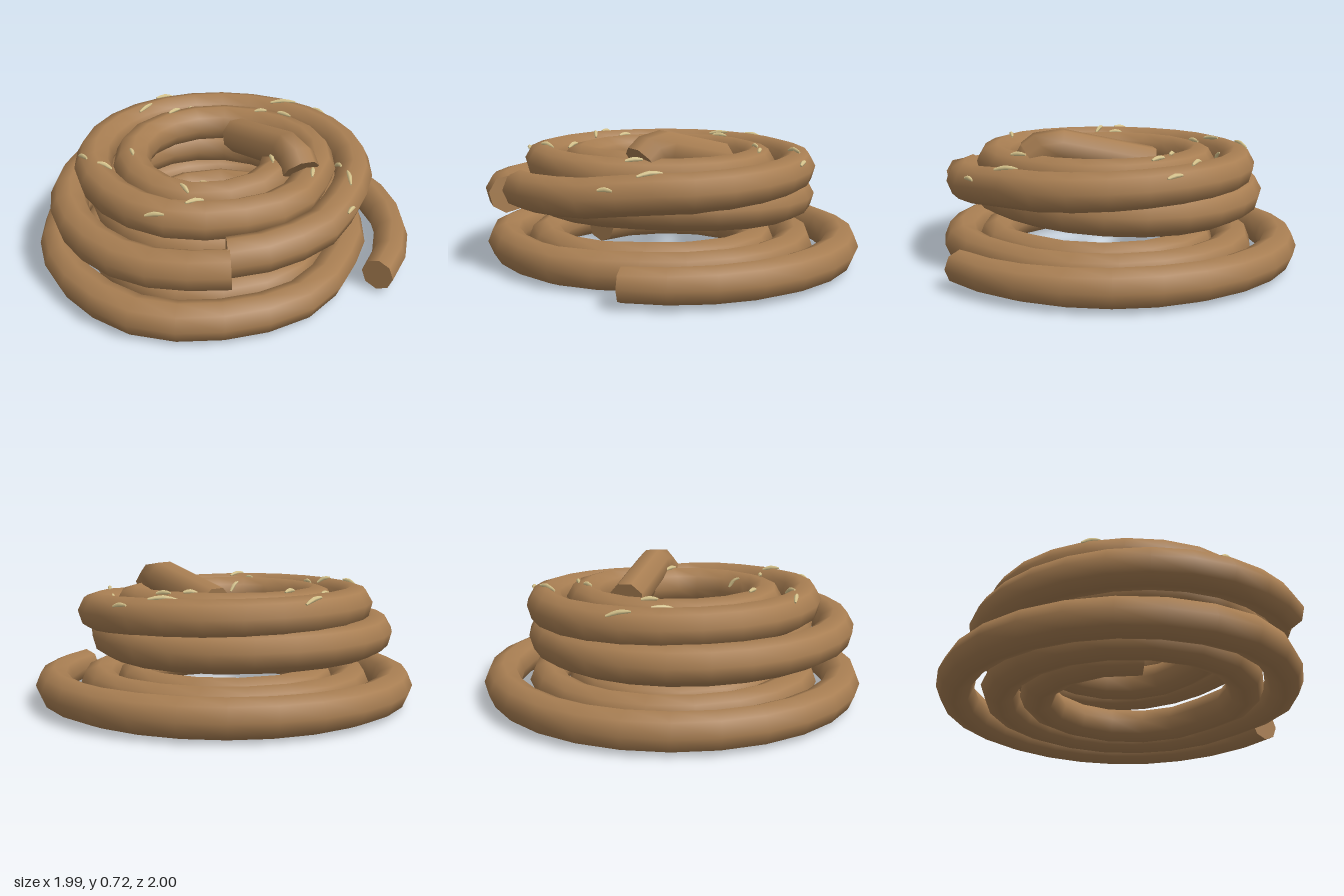
import * as THREE from 'three';

const R = 0.097;

// Flat coil: keys are [angle in degrees, radius, height], turning from +x towards the back
class CoilCurve extends THREE.Curve {
  constructor(keys) {
    super();
    this.keys = keys;
    this.start = keys[0][0];
    this.span = keys[keys.length - 1][0] - this.start;
  }
  getPoint(t, target = new THREE.Vector3()) {
    const angle = this.start + t * this.span;
    let i = 0;
    while (i < this.keys.length - 2 && angle > this.keys[i + 1][0]) i++;
    const [a0, r0, y0] = this.keys[i];
    const [a1, r1, y1] = this.keys[i + 1];
    const u = (angle - a0) / (a1 - a0);
    const s = u * u * (3 - 2 * u) * 0.5 + u * 0.5;
    const r = r0 + (r1 - r0) * s;
    const rad = THREE.MathUtils.degToRad(angle);
    return target.set(Math.cos(rad) * r, y0 + (y1 - y0) * s, -Math.sin(rad) * r);
  }
}

// Tube with a flat cap at both ends; thickness(t) scales the radius along it
function cappedTube(name, curve, segments, radius, sides, material, thickness = () => 1) {
  const group = new THREE.Group();
  group.name = name;
  const geometry = new THREE.TubeGeometry(curve, segments, radius, sides);
  const position = geometry.attributes.position;
  const v = new THREE.Vector3();
  for (let i = 0; i < position.count; i++) {
    const t = Math.floor(i / (sides + 1)) / segments;
    const centre = curve.getPointAt(t);
    v.fromBufferAttribute(position, i).sub(centre).multiplyScalar(thickness(t)).add(centre);
    position.setXYZ(i, v.x, v.y, v.z);
  }
  const tube = new THREE.Mesh(geometry, material);
  tube.name = name + 'Strand';
  group.add(tube);
  const frames = curve.computeFrenetFrames(segments, false);
  for (const end of [0, 1]) {
    const i = end * segments;
    const out = frames.tangents[i].clone().multiplyScalar(end ? 1 : -1);
    const side = frames.normals[i];
    const cap = new THREE.Mesh(new THREE.CircleGeometry(radius * thickness(end), sides), material);
    cap.name = name + 'End';
    cap.quaternion.setFromRotationMatrix(
      new THREE.Matrix4().makeBasis(side, out.clone().cross(side), out));
    cap.position.copy(curve.getPointAt(end));
    group.add(cap);
  }
  return group;
}

export function createModel() {
  const model = new THREE.Group();
  model.name = 'ropeCoil';
  const rope = new THREE.MeshStandardMaterial({ color: 0xa87e52 });
  rope.name = 'rope brown';
  const straw = new THREE.MeshStandardMaterial({ color: 0xdcc990 });
  straw.name = 'straw';

  // Three stacked layers: inwards, outwards, inwards
  const layers = {
    bottomCoil: [[-4, 0.91, 0.105], [90, 0.908, 0.105], [180, 0.903, 0.1], [270, 0.905, 0.1],
      [315, 0.8, 0.1], [360, 0.675, 0.1], [450, 0.67, 0.1], [540, 0.68, 0.1], [630, 0.68, 0.1],
      [680, 0.6, 0.1], [720, 0.49, 0.1], [810, 0.465, 0.1], [900, 0.49, 0.1], [962, 0.5, 0.1]],
    middleCoil: [[225, 0.5, 0.31], [270, 0.48, 0.325], [360, 0.39, 0.35], [450, 0.47, 0.355],
      [540, 0.57, 0.36], [630, 0.67, 0.37], [720, 0.585, 0.38], [810, 0.67, 0.355],
      [900, 0.783, 0.368], [990, 0.885, 0.375], [1020, 0.865, 0.4]],
    topCoil: [[299, 0.8, 0.42], [330, 0.75, 0.435], [360, 0.683, 0.47], [450, 0.675, 0.505],
      [540, 0.69, 0.52], [630, 0.69, 0.525], [680, 0.6, 0.52], [720, 0.495, 0.51],
      [810, 0.465, 0.515], [900, 0.49, 0.515], [990, 0.49, 0.515], [1050, 0.38, 0.52],
      [1078, 0.31, 0.525], [1098, 0.29, 0.53]],
  };
  // The free end on the ground is a little thinner
  const taper = { bottomCoil: (t) => 0.87 + 0.13 * Math.min(1, t / 0.08) };
  const curves = {};
  for (const [name, keys] of Object.entries(layers)) {
    const curve = curves[name] = new CoilCurve(keys);
    model.add(cappedTube(name, curve, Math.round(curve.span / 17), R, 8, rope, taper[name]));
  }

  // Short riser joining the bottom and middle layers
  const riser = new THREE.Mesh(new THREE.CylinderGeometry(0.1, 0.085, 0.22, 8), rope);
  riser.name = 'riser';
  riser.position.set(-0.295, 0.2, 0.4);
  model.add(riser);

  // Loose end lying across the top, folded down at its right
  const tailPath = new THREE.CurvePath();
  const tailPoints = [[0.465, 0.585, 0.06], [0.4, 0.65, 0.005], [-0.06, 0.53, -0.26]]
    .map((p) => new THREE.Vector3(...p));
  tailPath.add(new THREE.LineCurve3(tailPoints[0], tailPoints[1]));
  tailPath.add(new THREE.LineCurve3(tailPoints[1], tailPoints[2]));
  model.add(cappedTube('looseEnd', tailPath, 8, 0.095, 8, rope));

  // Stray fibres on the top layer, from one end to the other: [x, z, x, z]
  const fibres = [[-0.03, -0.63, 0.1, -0.69], [0.2, -0.72, 0.28, -0.7], [0.08, -0.49, 0.16, -0.485],
    [-0.04, -0.44, 0.02, -0.47], [-0.64, -0.35, -0.6, -0.46], [-0.46, -0.36, -0.44, -0.41],
    [-0.45, -0.18, -0.43, -0.26], [-0.62, -0.14, -0.61, -0.25], [0.54, -0.23, 0.6, -0.15],
    [0.66, -0.08, 0.72, 0.03], [0.28, 0.03, 0.33, 0.1], [0.52, 0.04, 0.55, 0.12],
    [0.08, 0.4, 0.105, 0.35], [-0.39, 0.3, -0.34, 0.35], [-0.6, 0.46, -0.52, 0.5],
    [-0.44, 0.52, -0.37, 0.5], [0.03, 0.5, 0.09, 0.53], [0.15, 0.66, 0.2, 0.58],
    [0.0, 0.775, 0.09, 0.75], [0.775, 0.2, 0.78, 0.13]];
  const samples = curves.topCoil.getPoints(500);
  const surfaceY = (x, z) => {
    let best = 0.5;
    let near = Infinity;
    for (const p of samples) {
      const d = Math.hypot(p.x - x, p.z - z);
      if (d < near) { near = d; best = p.y; }
    }
    return best + Math.sqrt(Math.max(0, R * R - near * near));
  };
  const spindle = (t) => 0.45 + 0.55 * Math.sin(Math.PI * t);
  for (const [x0, z0, x1, z1] of fibres) {
    const points = [0, 0.5, 1].map((s) => {
      const x = x0 + (x1 - x0) * s;
      const z = z0 + (z1 - z0) * s;
      return new THREE.Vector3(x, surfaceY(x, z) + (s === 0.5 ? 0.004 : 0), z);
    });
    const curve = new THREE.CatmullRomCurve3(points);
    model.add(cappedTube('fibre', curve, 4, 0.012, 5, straw, spindle));
  }

  return model;
}
